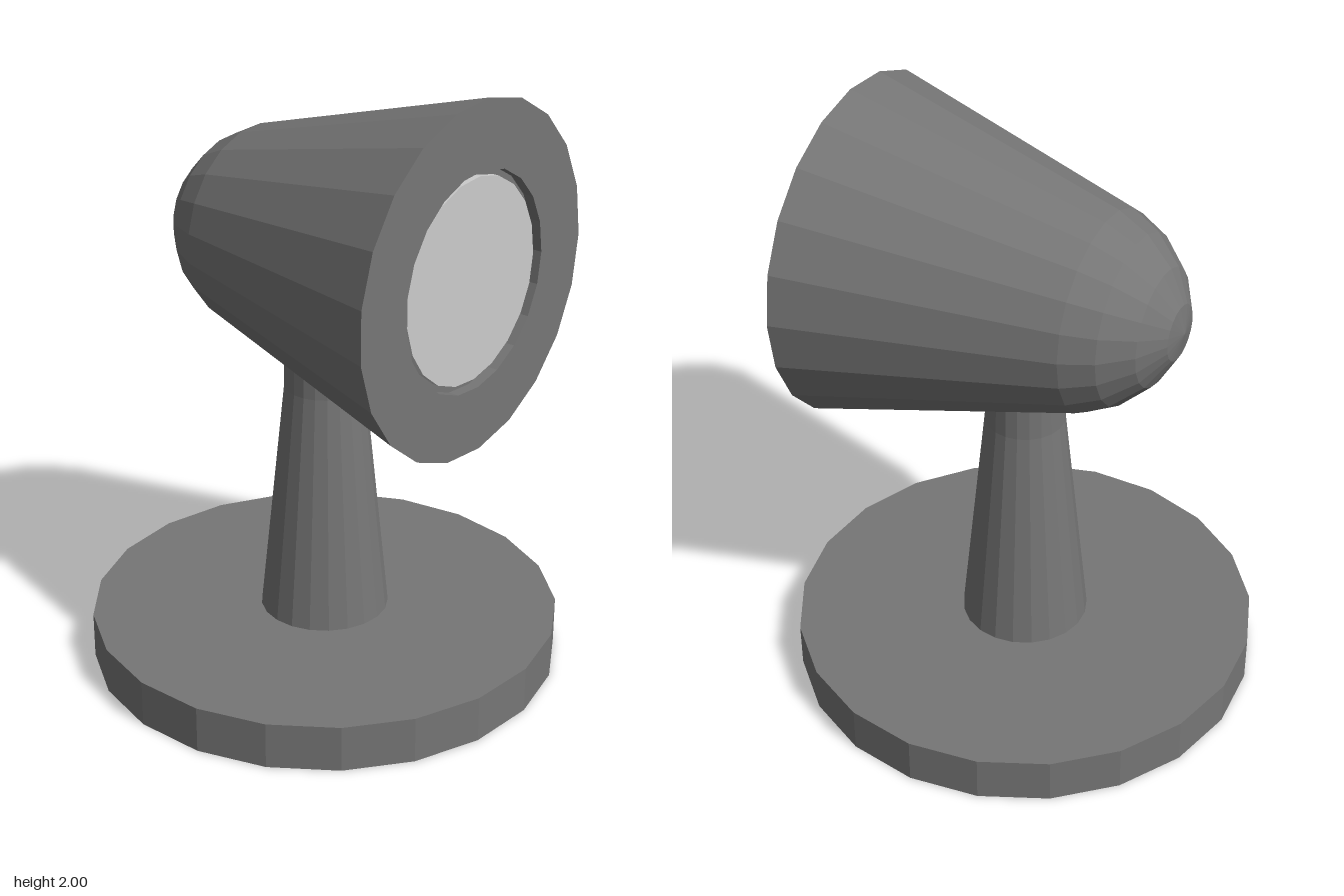
import * as THREE from 'three';

const SIDES = 21;

export function createModel() {
  const group = new THREE.Group();
  const body = new THREE.MeshStandardMaterial({ color: 0x767676, flatShading: true });
  const light = new THREE.MeshStandardMaterial({ color: 0xcccccc, flatShading: true });

  // Faceted turned part; profile is [radius, height] from bottom to top
  function turned(name, profile, material, parent) {
    const points = profile.map(([r, h]) => new THREE.Vector2(r, h));
    const mesh = new THREE.Mesh(new THREE.LatheGeometry(points, SIDES, Math.PI), material);
    mesh.name = name;
    parent.add(mesh);
    return mesh;
  }

  // Round base and tapering stem
  turned('base', [[0, 0], [0.78, 0], [0.78, 0.155], [0, 0.155]], body, group);
  turned('stem', [[0.214, 0.15], [0.132, 0.95], [0.128, 1.2], [0, 1.2]], body, group);

  // Lamp head, turned on its side to face +x
  const head = new THREE.Group();
  head.name = 'lampHead';
  head.position.y = 1.44;
  head.rotation.z = -Math.PI / 2;
  group.add(head);

  // Shade with domed back, flat front ring and shallow recess
  turned('shade', [
    [0, -0.543], [0.09, -0.527], [0.19, -0.47], [0.275, -0.38], [0.325, -0.28],
    [0.56, 0.58], [0.347, 0.58], [0.347, 0.545], [0, 0.545],
  ], body, head);

  // Lens sitting inside the recess
  turned('lens', [[0.324, 0.54], [0.324, 0.565], [0, 0.565]], light, head);

  return group;
}
